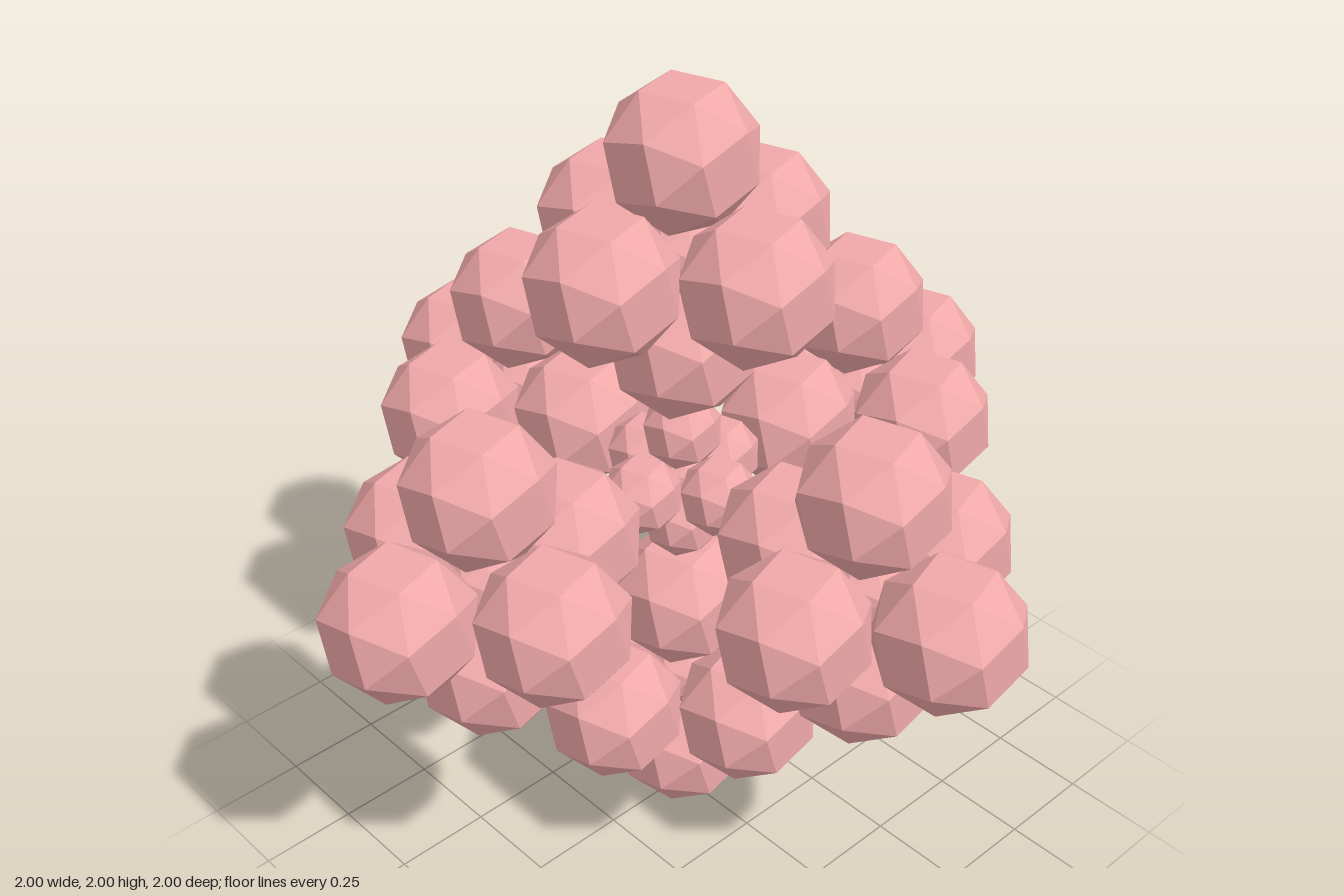
import * as THREE from 'three';
import { ConvexGeometry } from 'three/addons/geometries/ConvexGeometry.js';

// Tribonacci constant: fixes the proportions of the snub cube
const T = 1.8392868;
// Size of each outer copy, so that neighbours meet edge to edge
const S = 0.3931;
// Size of the middle copy, filling the space left between the outer ones
const CORE = 1 - 2 * S;

// Snub cube whose square faces lie one unit from the centre
function snubCube() {
  const points = [];
  for (const sx of [1, -1]) for (const sy of [1, -1]) for (const sz of [1, -1]) {
    const evenPluses = sx * sy * sz < 0;
    const [a, b, c] = evenPluses ? [1, 1 / T, T] : [1 / T, 1, T];
    // the three cyclic orders of the coordinates
    for (const [x, y, z] of [[a, b, c], [b, c, a], [c, a, b]]) {
      points.push(new THREE.Vector3(sx * x, sy * y, sz * z).divideScalar(T));
    }
  }
  return new ConvexGeometry(points);
}

export function createModel() {
  const model = new THREE.Group();
  model.name = 'snubCubeFractal';
  const geometry = snubCube();
  const material = new THREE.MeshStandardMaterial({ color: 0xf0a8a8, flatShading: true });

  const arms = {
    right: [-1, 0, 0], left: [1, 0, 0], bottom: [0, -1, 0],
    top: [0, 1, 0], back: [0, 0, -1], front: [0, 0, 1],
  };

  // Six copies around a smaller core, repeated at every level
  function build(level, name) {
    if (level === 0) {
      const mesh = new THREE.Mesh(geometry, material);
      mesh.name = name + 'SnubCube';
      return mesh;
    }
    const cluster = new THREE.Group();
    cluster.name = name + 'Cluster';
    for (const [side, dir] of Object.entries(arms)) {
      const child = build(level - 1, side);
      child.position.set(...dir).multiplyScalar(1 - S);
      child.scale.setScalar(S);
      cluster.add(child);
    }
    const core = build(level - 1, 'core');
    core.scale.setScalar(CORE);
    cluster.add(core);
    return cluster;
  }

  const fractal = build(2, 'whole');
  fractal.position.y = 1;
  model.add(fractal);
  return model;
}
